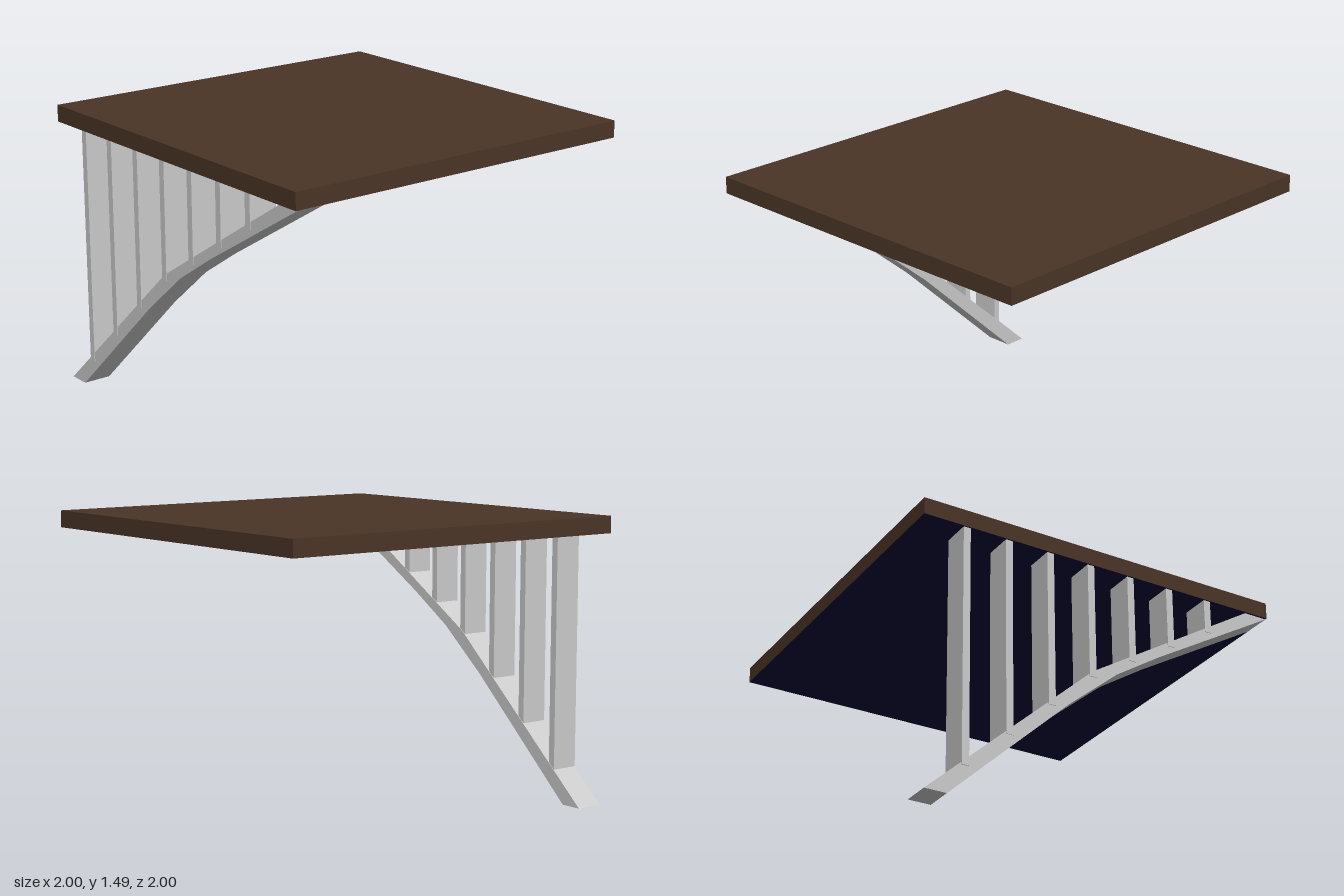
import * as THREE from 'three';

const brown = new THREE.MeshStandardMaterial({ color: 0x4a3526 });
const navy = new THREE.MeshStandardMaterial({ color: 0x0a0638 });
const grey = new THREE.MeshStandardMaterial({ color: 0xcccccc });

const WIDTH = 0.15;       // width of the truss along x
const CENTRE_X = -0.915;
const UNDERSIDE = 1.4;    // bottom of the deck

// Upper edge of the bent strut, as [z, y]
const upperEdge = [[0.87, 1.4], [-0.07, 0.815], [-0.972, 0]];
const lowerEdge = [[-0.855, 0], [-0.206, 0.605], [0.07, 0.835], [0.32, 0.996], [1, 1.4]];

// Height of the strut's upper edge at a given z
function strutTop(z) {
  const [a, b, c] = upperEdge;
  const [p, q] = z > b[0] ? [a, b] : [b, c];
  return p[1] + (q[1] - p[1]) * (z - p[0]) / (q[0] - p[0]);
}

export function createModel() {
  const model = new THREE.Group();
  model.name = 'deckWithTruss';

  // Square deck, brown with a dark blue underside
  const deck = new THREE.Mesh(
    new THREE.BoxGeometry(2, 0.088, 2),
    [brown, brown, brown, navy, brown, brown]
  );
  deck.name = 'deck';
  deck.position.y = UNDERSIDE + 0.044;
  model.add(deck);

  const truss = new THREE.Group();
  truss.name = 'truss';
  model.add(truss);

  // Bent strut: side profile drawn in (z, y), extruded and turned to lie along z
  const profile = new THREE.Shape(
    [...upperEdge, ...lowerEdge].map(([z, y]) => new THREE.Vector2(-z, y))
  );
  const strutGeometry = new THREE.ExtrudeGeometry(profile, { depth: WIDTH, bevelEnabled: false });
  strutGeometry.translate(0, 0, -WIDTH / 2);
  strutGeometry.rotateY(Math.PI / 2);
  const strut = new THREE.Mesh(strutGeometry, grey);
  strut.name = 'strut';
  strut.position.x = CENTRE_X;
  truss.add(strut);

  // Seven upright posts from the strut to the deck
  for (let i = 0; i < 7; i++) {
    const z = 0.628 - i * 0.232;
    const bottom = strutTop(z) - 0.03;
    const post = new THREE.Mesh(
      new THREE.BoxGeometry(WIDTH, UNDERSIDE - bottom, 0.038),
      grey
    );
    post.name = `post${i + 1}`;
    post.position.set(CENTRE_X - 0.003, (UNDERSIDE + bottom) / 2, z);
    truss.add(post);
  }

  return model;
}
